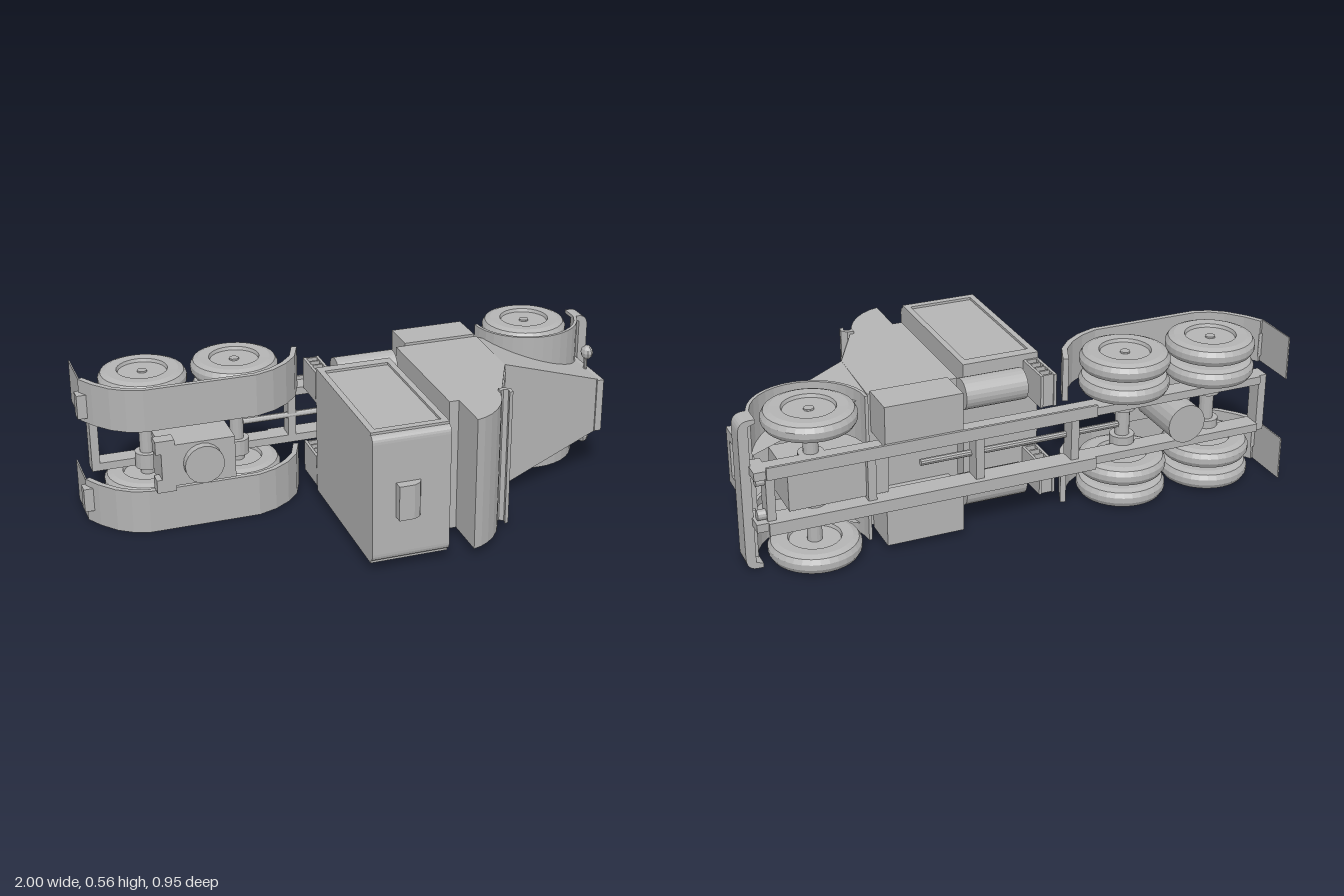
import * as THREE from 'three';

const MID = 0.28; // centre plane of the truck, which lies on its side (its roof points to +z)

export function createModel() {
  const root = new THREE.Group();
  root.name = 'truck';
  const grey = new THREE.MeshStandardMaterial({ color: 0xb4b4b4, flatShading: true, side: THREE.DoubleSide });
  grey.name = 'plain grey';

  const add = (name, geo, x = 0, y = 0, z = 0) => {
    const m = new THREE.Mesh(geo, grey);
    m.name = name;
    m.position.set(x, y, z);
    root.add(m);
    return m;
  };
  const box = (name, x0, x1, y0, y1, z0, z1) =>
    add(name, new THREE.BoxGeometry(x1 - x0, y1 - y0, z1 - z0), (x0 + x1) / 2, (y0 + y1) / 2, (z0 + z1) / 2);
  // box on both sides, d0..d1 measured from the centre plane
  const boxPair = (name, x0, x1, d0, d1, z0, z1) => {
    box(name + 'Left', x0, x1, MID + d0, MID + d1, z0, z1);
    box(name + 'Right', x0, x1, MID - d1, MID - d0, z0, z1);
  };
  // cylinder along 'x', 'y' or 'z'
  const rod = (name, axis, r, len, x, y, z, sides = 16) => {
    const g = new THREE.CylinderGeometry(r, r, len, sides);
    if (axis === 'x') g.rotateZ(Math.PI / 2);
    if (axis === 'z') g.rotateX(Math.PI / 2);
    return add(name, g, x, y, z);
  };
  // side profile in (x, z), extruded between two y values
  const slab = (name, pts, y0, y1) => {
    const s = new THREE.Shape(pts.map(([x, z]) => new THREE.Vector2(x, z)));
    const g = new THREE.ExtrudeGeometry(s, { depth: y1 - y0, bevelEnabled: false });
    g.rotateX(Math.PI / 2);
    return add(name, g, 0, y1, 0);
  };
  // thin strip that follows a path, thickened to one side
  const band = (name, path, t, y0, y1) => {
    const inner = path.map((p, i) => {
      const a = path[Math.max(i - 1, 0)], b = path[Math.min(i + 1, path.length - 1)];
      const dx = b[0] - a[0], dz = b[1] - a[1], l = Math.hypot(dx, dz);
      return [p[0] + (dz / l) * t, p[1] - (dx / l) * t];
    });
    return slab(name, [...path, ...inner.reverse()], y0, y1);
  };
  const arc = (cx, cz, r, a0, a1, n) => Array.from({ length: n + 1 }, (_, i) => {
    const a = a0 + ((a1 - a0) * i) / n;
    return [cx + r * Math.cos(a), cz + r * Math.sin(a)];
  });

  // Wheels: one lathe profile with a recessed rim and a hub
  const tyre = new THREE.LatheGeometry([
    [0, -0.022], [0.088, -0.022], [0.092, -0.034], [0.13, -0.035], [0.15, -0.027], [0.16, -0.01],
    [0.16, 0.01], [0.15, 0.027], [0.13, 0.035], [0.092, 0.034], [0.088, 0.022], [0, 0.022],
  ].map(([r, y]) => new THREE.Vector2(r, y)), 32);
  const wheel = (x, y) => {
    add('wheel', tyre, x, y, -0.32);
    rod('hub', 'y', 0.018, 0.056, x, y, -0.32, 10);
  };
  for (const [x, dual] of [[-0.747, true], [-0.405, true], [0.752, false]]) {
    for (const s of [-1, 1]) {
      wheel(x, MID + s * 0.242);
      if (dual) wheel(x, MID + s * 0.157);
      rod('axleCollar', 'y', 0.045, 0.06, x, MID + s * 0.08, -0.32);
    }
    rod('axle', 'y', 0.026, 0.46, x, MID, -0.32);
  }

  // Chassis
  boxPair('frameRail', -0.92, 0.93, 0.08, 0.11, -0.4, -0.33);
  boxPair('railFlange', -0.26, 0.93, 0.08, 0.125, -0.41, -0.4);
  for (const x of [-0.95, -0.2, 0.16, 0.55, 0.9]) box('crossMember', x, x + 0.03, 0.17, 0.39, -0.39, -0.33);
  rod('driveShaft', 'x', 0.012, 0.75, 0.0, MID, -0.34, 10);
  box('engine', 0.5, 0.85, 0.21, 0.35, -0.37, -0.15);
  boxPair('stepBox', 0.24, 0.52, 0.11, 0.26, -0.4, -0.26);

  // Coupling over the rear axles
  box('couplingBlock', -0.75, -0.48, 0.2, 0.36, -0.2, -0.06);
  boxPair('couplingLug', -0.77, -0.7, 0.05, 0.1, -0.11, -0.06);
  rod('couplingPivot', 'z', 0.072, 0.41, -0.6, MID, -0.235, 20);

  // Rear mudguards, flaps and tail lights
  const guard = [[-0.985, -0.29], [-0.95, -0.23], [-0.9, -0.17], [-0.85, -0.135], [-0.79, -0.115],
    [-0.38, -0.115], [-0.31, -0.14], [-0.25, -0.18], [-0.2, -0.235], [-0.165, -0.32]];
  band('rearMudguardLeft', guard, 0.02, 0.4, 0.56);
  band('rearMudguardRight', guard, 0.02, 0, 0.165);
  boxPair('mudFlap', -0.984, -0.979, 0.12, 0.28, -0.47, -0.29);
  boxPair('tailLight', -1, -0.965, 0.14, 0.23, -0.3, -0.255);
  for (const s of [-1, 1]) for (const d of [0.16, 0.185, 0.21])
    rod('tailLamp', 'x', 0.011, 0.03, -0.985, MID + s * d, -0.278, 10);

  // Fuel tanks and ladder steps
  for (const s of [-1, 1]) {
    rod('fuelTank', 'x', 0.056, 0.23, 0.075, MID + s * 0.185, -0.255, 24);
    rod('tankCap', 'z', 0.012, 0.02, 0.08, MID + s * 0.185, -0.195, 10);
  }
  for (const x of [-0.14, -0.09]) boxPair('ladderSide', x, x + 0.01, 0.11, 0.23, -0.325, -0.175);
  for (const z of [-0.32, -0.285, -0.25, -0.215, -0.18]) boxPair('ladderRung', -0.135, -0.085, 0.11, 0.23, z, z + 0.008);

  // Sleeper: section with rounded roof edges, extruded along x
  const sec = new THREE.Shape();
  sec.moveTo(0.043, -0.17).lineTo(0.522, -0.17).lineTo(0.522, 0.41);
  sec.quadraticCurveTo(0.522, 0.44, 0.492, 0.44).lineTo(0.073, 0.44);
  sec.quadraticCurveTo(0.043, 0.44, 0.043, 0.41);
  const sleeper = new THREE.ExtrudeGeometry(sec, { depth: 0.285, bevelEnabled: false, curveSegments: 6 });
  sleeper.applyMatrix4(new THREE.Matrix4().makeBasis(
    new THREE.Vector3(0, 1, 0), new THREE.Vector3(0, 0, 1), new THREE.Vector3(1, 0, 0)));
  add('sleeper', sleeper, -0.14, 0, 0);
  for (const [y0, y1] of [[0.034, 0.043], [0.522, 0.531]]) {
    box('sleeperTrim', -0.14, -0.118, y0, y1, -0.17, 0.42);
    box('sleeperTrim', 0.123, 0.145, y0, y1, -0.17, 0.42);
    box('sleeperTrim', -0.118, 0.123, y0, y1, -0.17, -0.13);
    box('sleeperTrim', -0.118, 0.123, y0, y1, 0.393, 0.42);
  }
  slab('roofVent', [[-0.055, 0.44], [0.035, 0.44], [0.025, 0.462], [0, 0.475], [-0.055, 0.475]], 0.21, 0.34);

  // Cab, roof fairing, visor and split windscreen
  slab('cab', [[0.205, -0.26], [0.53, -0.26], [0.52, 0.03], [0.4, 0.27], [0.205, 0.27]], 0.03, 0.53);
  slab('roofFairing', [[0.24, 0.265], [0.4, 0.265], [0.388, 0.305], [0.367, 0.345], [0.338, 0.382],
    [0.305, 0.411], [0.272, 0.43], [0.24, 0.44]], 0.03, 0.53);
  slab('sunVisor', [[0.4, 0.24], [0.425, 0.24], [0.443, 0.26], [0.44, 0.283], [0.425, 0.287],
    [0.43, 0.265], [0.415, 0.255], [0.4, 0.265]], 0.02, 0.54);
  const glass = [[0.511, 0.045], [0.517, 0.048], [0.426, 0.23], [0.42, 0.23]];
  slab('windscreenLeft', glass, 0.287, 0.52);
  slab('windscreenRight', glass, 0.04, 0.273);
  for (const s of [-1, 1]) {
    const wiper = (name, a, b) => {
      const c = new THREE.LineCurve3(new THREE.Vector3(...a), new THREE.Vector3(...b));
      add(name, new THREE.TubeGeometry(c, 1, 0.004, 5));
    };
    wiper('wiper', [0.519, MID + s * 0.125, 0.046], [0.465, MID + s * 0.035, 0.15]);
    wiper('wiperBlade', [0.49, MID + s * 0.02, 0.1], [0.43, MID + s * 0.02, 0.22]);
  }

  // Tapered bonnet, open underneath
  const back = [[0.52, 0.03, -0.26], [0.52, 0.03, 0.03], [0.52, 0.53, 0.03], [0.52, 0.53, -0.26]];
  const front = [[0.94, 0.175, -0.27], [0.94, 0.175, -0.03], [0.94, 0.385, -0.03], [0.94, 0.385, -0.27]];
  const corners = [];
  for (let i = 0; i < 3; i++)
    corners.push(back[i], front[i], front[i + 1], back[i], front[i + 1], back[i + 1]);
  const bonnet = new THREE.BufferGeometry();
  bonnet.setAttribute('position', new THREE.Float32BufferAttribute(corners.flat(), 3));
  bonnet.computeVertexNormals();
  add('bonnet', bonnet);

  // Grille with raised surround
  box('grille', 0.93, 0.945, 0.18, 0.38, -0.27, -0.025);
  boxPair('grilleSurround', 0.93, 0.957, 0.068, 0.105, -0.27, -0.022);
  box('grilleSurround', 0.93, 0.957, 0.21, 0.35, -0.06, -0.022);
  box('grilleSurround', 0.93, 0.957, 0.21, 0.35, -0.27, -0.215);

  // Front mudguards
  const arch = arc(0.752, -0.32, 0.205, Math.PI, 0.1, 16);
  band('frontMudguardLeft', arch, 0.012, 0.37, 0.553);
  band('frontMudguardRight', arch, 0.012, 0.008, 0.19);

  // Headlamps on stalks
  for (const s of [-1, 1]) {
    rod('lampStalk', 'y', 0.007, 0.08, 0.935, MID + s * 0.14, -0.14, 8);
    const lamp = add('headlamp', new THREE.SphereGeometry(0.028, 10, 6), 0.94, MID + s * 0.174, -0.142);
    lamp.scale.x = 0.8;
    rod('towHook', 'x', 0.018, 0.04, 0.94, MID + s * 0.063, -0.365, 12);
  }

  // Front bumper with rounded wrap-around ends
  const b = new THREE.Shape();
  b.moveTo(0.94, 0.005).lineTo(0.96, 0.005).quadraticCurveTo(1, 0.005, 1, 0.05);
  b.lineTo(1, 0.51).quadraticCurveTo(1, 0.553, 0.96, 0.553).lineTo(0.94, 0.553);
  b.lineTo(0.94, 0.54).lineTo(0.965, 0.53).lineTo(0.965, 0.03).lineTo(0.94, 0.02);
  add('frontBumper', new THREE.ExtrudeGeometry(b, { depth: 0.076, bevelEnabled: false, curveSegments: 6 }), 0, 0, -0.345);
  boxPair('bumperBracket', 0.92, 0.97, 0.08, 0.11, -0.4, -0.3);

  return root;
}
